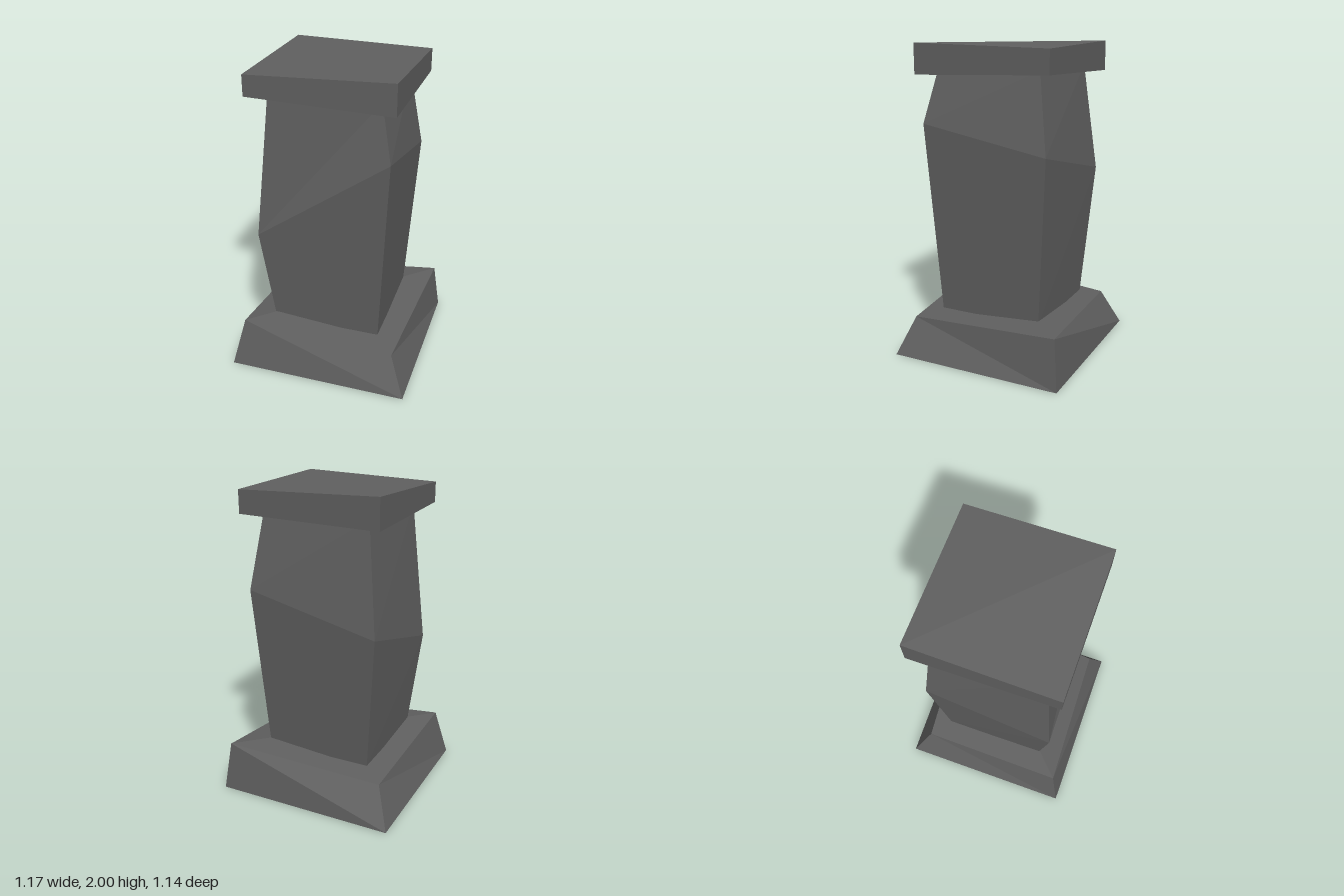
import * as THREE from 'three';

const stone = new THREE.MeshStandardMaterial({ color: 0x606060, side: THREE.DoubleSide });
stone.name = 'grey stone';

// Rings hold four corners [x, y, z]: front left, front right, back right, back left (as seen from the front).
// Each option picks which diagonal folds a quad; bottom or top left out stays open.
function roughBlock(name, rings, { rising = true, top = null, bottom = null }) {
  const positions = [];
  const quad = (a, b, c, d, foldAC) => {
    const corners = foldAC ? [a, b, c, a, c, d] : [a, b, d, b, c, d];
    corners.forEach((p) => positions.push(...p));
  };
  for (let r = 0; r < rings.length - 1; r++) {
    const low = rings[r], high = rings[r + 1];
    for (let i = 0; i < 4; i++) {
      const j = (i + 1) % 4;
      quad(low[i], low[j], high[j], high[i], rising);
    }
  }
  if (top) {
    const [a, b, c, d] = rings[rings.length - 1];
    quad(a, b, c, d, top === 'frontLeftFold');
  }
  if (bottom) {
    const [a, b, c, d] = rings[0];
    quad(d, c, b, a, bottom === 'frontRightFold');
  }
  const geometry = new THREE.BufferGeometry();
  geometry.setAttribute('position', new THREE.Float32BufferAttribute(positions, 3));
  geometry.computeVertexNormals();
  const mesh = new THREE.Mesh(geometry, stone);
  mesh.name = name;
  return mesh;
}

// Rectangular ring with a height for each corner
const ring = (w, d, [fl, fr, br, bl]) => [[-w, fl, d], [w, fr, d], [w, br, -d], [-w, bl, -d]];

export function createModel() {
  const group = new THREE.Group();
  group.name = 'stonePillar';

  // Hollow, crooked plinth, open underneath
  group.add(roughBlock('base', [
    ring(0.585, 0.57, [0, 0, 0, 0]),
    [[-0.51, 0.32, 0.505], [0.48, 0.245, 0.475], [0.545, 0.32, -0.535], [-0.485, 0.245, -0.455]],
  ], { rising: false, top: 'frontLeftFold' }));

  // Shaft, bulging at a different height on each corner
  group.add(roughBlock('shaft', [
    ring(0.352, 0.343, [0.285, 0.285, 0.285, 0.285]),
    ring(0.422, 0.413, [0.93, 1.51, 1.36, 1.16]),
    ring(0.347, 0.34, [1.85, 1.85, 1.85, 1.85]),
  ], { top: 'frontLeftFold', bottom: 'frontLeftFold' }));

  // Uneven capstone
  group.add(roughBlock('capstone', [
    ring(0.455, 0.445, [1.84, 1.81, 1.835, 1.81]),
    ring(0.455, 0.445, [1.97, 2, 1.98, 2]),
  ], { top: 'frontRightFold', bottom: 'frontLeftFold' }));

  return group;
}
